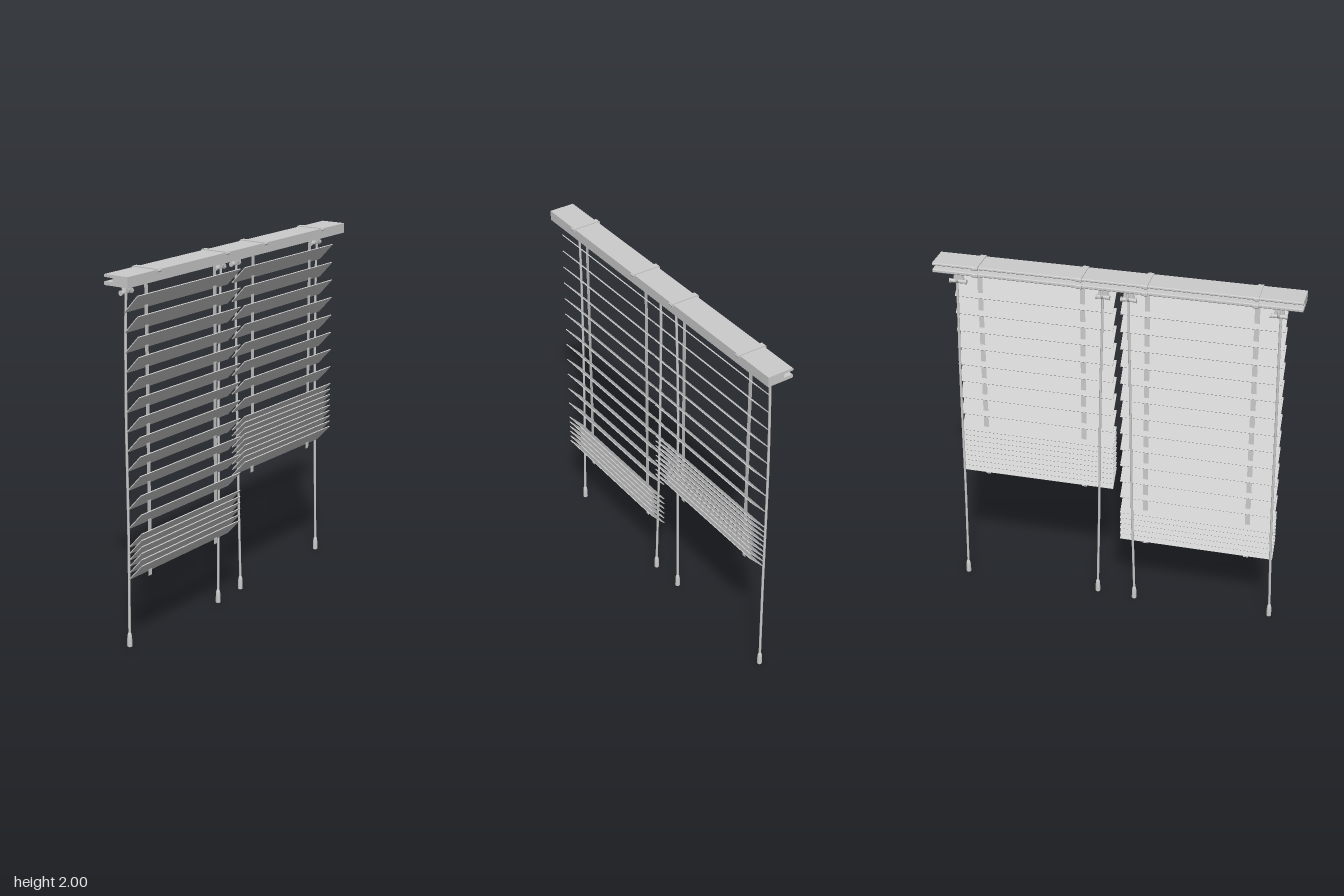
import * as THREE from 'three';

const material = new THREE.MeshStandardMaterial({ color: 0xcccccc });
const thinMaterial = new THREE.MeshStandardMaterial({ color: 0xcccccc, side: THREE.DoubleSide });

function add(parent, name, geometry, x = 0, y = 0, z = 0, mat = material) {
  const mesh = new THREE.Mesh(geometry, mat);
  mesh.name = name;
  mesh.position.set(x, y, z);
  parent.add(mesh);
  return mesh;
}

// Extrudes a (z, y) outline along x, centred on x = 0
function extrudeAlongX(points, length) {
  const shape = new THREE.Shape(points.map(([z, y]) => new THREE.Vector2(z, y)));
  const geometry = new THREE.ExtrudeGeometry(shape, { depth: length, bevelEnabled: false });
  return geometry.translate(0, 0, -length / 2).rotateY(-Math.PI / 2);
}

// Head rail with a slot along its back
function makeRail() {
  return extrudeAlongX([
    [0.074, 1.94], [0.074, 1.995], [-0.07, 1.995], [-0.074, 1.991], [-0.074, 1.984], [-0.07, 1.98],
    [-0.02, 1.98], [-0.02, 1.959], [-0.07, 1.959], [-0.074, 1.955], [-0.074, 1.944], [-0.07, 1.94],
  ], 1.96);
}

// Clip: strap over the rail, hooked over the front edge and both back lips
function makeClip(x) {
  const clip = new THREE.Group();
  clip.name = 'railClip';
  const w = 0.03;
  add(clip, 'clipTop', extrudeAlongX([
    [0.074, 1.983], [0.08, 1.983], [0.083, 1.99], [0.078, 2], [-0.078, 2], [-0.084, 1.994],
    [-0.084, 1.983], [-0.079, 1.978], [-0.06, 1.978], [-0.06, 1.995], [0.074, 1.995],
  ], w), x);
  add(clip, 'clipBackHook', extrudeAlongX([
    [-0.06, 1.938], [-0.06, 1.961], [-0.078, 1.961], [-0.083, 1.956], [-0.083, 1.943], [-0.078, 1.938],
  ], w), x);
  return clip;
}

// Cord lock: tapered housing, side-to-side roller and a round cord guide
function makeLock(x, width) {
  const lock = new THREE.Group();
  lock.name = 'cordLock';
  lock.position.set(x, 0, -0.04);
  const outline = [[-0.019, 1.94], [-0.03, 1.89], [0.03, 1.89], [0.019, 1.94]];
  const shape = new THREE.Shape(outline.map(([a, b]) => new THREE.Vector2(a, b)));
  add(lock, 'lockHousing', new THREE.ExtrudeGeometry(shape, { depth: 0.016, bevelEnabled: false }), 0, 0, 0.004);
  add(lock, 'lockRoller', new THREE.CylinderGeometry(0.01, 0.01, width, 16).rotateZ(Math.PI / 2), 0, 1.889, 0);
  for (const s of [-1, 1]) {
    add(lock, 'rollerCap', new THREE.CylinderGeometry(0.013, 0.013, 0.008, 16).rotateZ(Math.PI / 2),
      s * (width / 2 - 0.004), 1.889, 0);
  }
  const guide = new THREE.CatmullRomCurve3([[1.94, 0.017], [1.9, 0.019], [1.886, 0], [1.9, -0.021], [1.94, -0.017]]
    .map(([y, z]) => new THREE.Vector3(0, y, z)));
  add(lock, 'cordGuide', new THREE.TubeGeometry(guide, 20, 0.006, 8));
  return lock;
}

// Pull cord with a turned tassel at its end
function makeCord(top, middle, bottom, base) {
  const cord = new THREE.Group();
  cord.name = 'pullCord';
  const path = new THREE.CatmullRomCurve3([
    new THREE.Vector3(top, 1.93, -0.03),
    new THREE.Vector3(top, 1.8, -0.036),
    new THREE.Vector3((top + middle) / 2, 1.3, -0.041),
    new THREE.Vector3(middle, 0.6, -0.035),
    new THREE.Vector3(bottom, base + 0.07, -0.03),
  ]);
  add(cord, 'cord', new THREE.TubeGeometry(path, 40, 0.007, 8));
  const profile = [[0, 0], [0.012, 0], [0.014, 0.004], [0.013, 0.05], [0.011, 0.066], [0.007, 0.078], [0, 0.08]];
  add(cord, 'tassel', new THREE.LatheGeometry(profile.map(p => new THREE.Vector2(...p)), 16), bottom, base, -0.03);
  return cord;
}

// Blind: open slats, then a gathered stack, threaded on two tapes
function makeBlind({ name, x0, x1, open, stacked, lastTop, tapes }) {
  const blind = new THREE.Group();
  blind.name = name;
  const first = 1.885, pitch = 0.1025, drop = 0.092, depth = 0.085;
  const slat = new THREE.BoxGeometry(x1 - x0, 0.005, Math.hypot(drop, depth));
  slat.rotateX(-Math.atan2(drop, depth));
  const openEnd = first - pitch * (open - 1);
  for (let i = 0; i < open + stacked; i++) {
    const top = i < open ? first - pitch * i : openEnd - (openEnd - lastTop) * (i - open + 1) / stacked;
    add(blind, 'slat', slat, (x0 + x1) / 2, top - drop / 2, 0.0175);
  }
  const end = lastTop - drop - 0.02;
  for (const x of tapes) {
    add(blind, 'ladderTape', new THREE.PlaneGeometry(0.028, 1.945 - end), x, (1.945 + end) / 2, -0.006, thinMaterial);
  }
  return blind;
}

export function createModel() {
  const model = new THREE.Group();
  model.name = 'windowBlinds';
  add(model, 'headRail', makeRail());
  const rightTapes = [-0.74, -0.165], leftTapes = [0.183, 0.743];
  for (const x of [...rightTapes, ...leftTapes]) model.add(makeClip(x));

  model.add(makeBlind({ name: 'rightBlind', x0: -0.89, x1: -0.025, open: 13, stacked: 5, lastTop: 0.482, tapes: rightTapes }));
  model.add(makeBlind({ name: 'leftBlind', x0: 0.015, x1: 0.88, open: 9, stacked: 8, lastTop: 0.805, tapes: leftTapes }));

  for (const [x, w] of [[-0.854, 0.09], [-0.073, 0.085], [0.065, 0.075], [0.852, 0.095]]) model.add(makeLock(x, w));
  for (const c of [[-0.865, -0.877, -0.89, 0.015], [-0.073, -0.096, -0.11, 0],
    [0.068, 0.092, 0.104, 0.012], [0.86, 0.875, 0.885, 0.015]]) model.add(makeCord(...c));
  return model;
}
